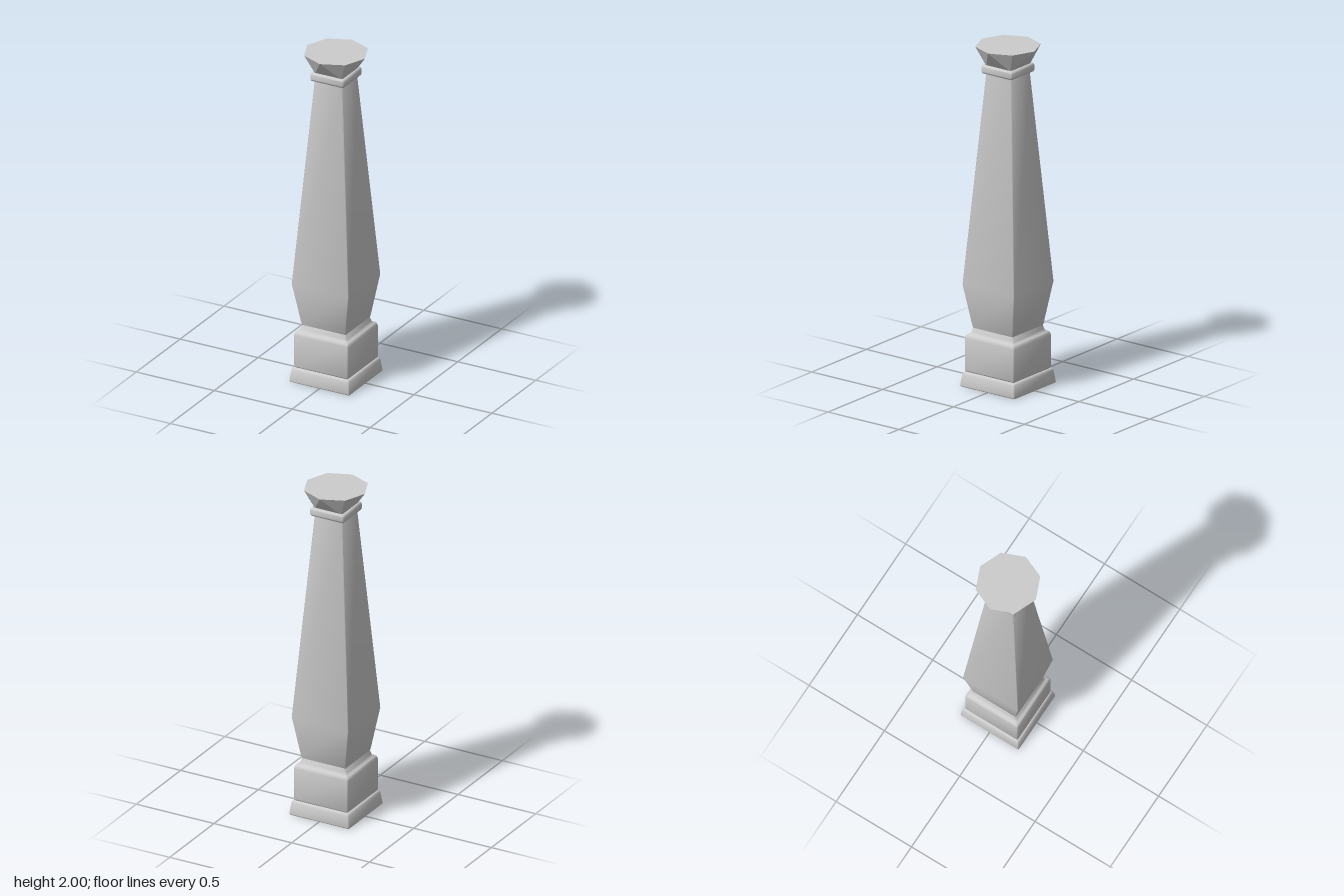
import * as THREE from 'three';
import { toCreasedNormals } from 'three/addons/utils/BufferGeometryUtils.js';
import { ConvexGeometry } from 'three/addons/geometries/ConvexGeometry.js';

const material = new THREE.MeshStandardMaterial({ color: 0xcccccc });

// Square ring with slightly cut corners, h = half width, b = corner cut
function squareRing(y, h, b) {
  const ring = [];
  for (let k = 0; k < 4; k++) {
    const c = Math.round(Math.cos(k * Math.PI / 2)), s = Math.round(Math.sin(k * Math.PI / 2));
    for (const [x, z] of [[h, h - b], [h - b, h]]) ring.push(new THREE.Vector3(x * c - z * s, y, x * s + z * c));
  }
  return ring;
}

// Closed square loft through a profile of [half width, height]
function squareLoft(profile, bevel) {
  const n = 8, points = [], index = [];
  for (const [h, y] of profile) points.push(...squareRing(y, h, bevel));
  for (let r = 0; r < profile.length - 1; r++) {
    for (let i = 0; i < n; i++) {
      const a = r * n + i, b = r * n + (i + 1) % n;
      index.push(a, a + n, b, b, a + n, b + n);
    }
  }
  const top = (profile.length - 1) * n;
  for (let i = 1; i < n - 1; i++) {
    index.push(0, i, i + 1, top, top + i + 1, top + i);
  }
  const geometry = new THREE.BufferGeometry().setFromPoints(points);
  geometry.setIndex(index);
  return toCreasedNormals(geometry, 0.85);
}

export function createModel() {
  const group = new THREE.Group();
  const add = (name, geometry) => {
    const mesh = new THREE.Mesh(geometry, material);
    mesh.name = name;
    group.add(mesh);
  };

  add('plinth', squareLoft([[0.19, 0], [0.193, 0.006], [0.184, 0.072], [0.18, 0.082], [0.172, 0.087]], 0.005));
  add('baseBlock', squareLoft([[0.168, 0.085], [0.174, 0.094], [0.174, 0.285], [0.17, 0.299],
    [0.163, 0.305], [0.151, 0.311], [0.147, 0.322], [0.14, 0.345]], 0.006));
  add('shaft', squareLoft([[0.14, 0.34], [0.144, 0.355], [0.183, 0.6], [0.088, 1.845]], 0.004));
  add('collar', squareLoft([[0.096, 1.838], [0.103, 1.841], [0.107, 1.85], [0.107, 1.88],
    [0.103, 1.888], [0.094, 1.891]], 0.004));

  // Capital: square neck flaring to an octagonal top
  const capital = squareRing(1.885, 0.089, 0.004);
  for (let i = 0; i < 8; i++) {
    const a = i * Math.PI / 4;
    capital.push(new THREE.Vector3(0.185 * Math.cos(a), 2, 0.185 * Math.sin(a)));
  }
  add('capital', new ConvexGeometry(capital));

  return group;
}
